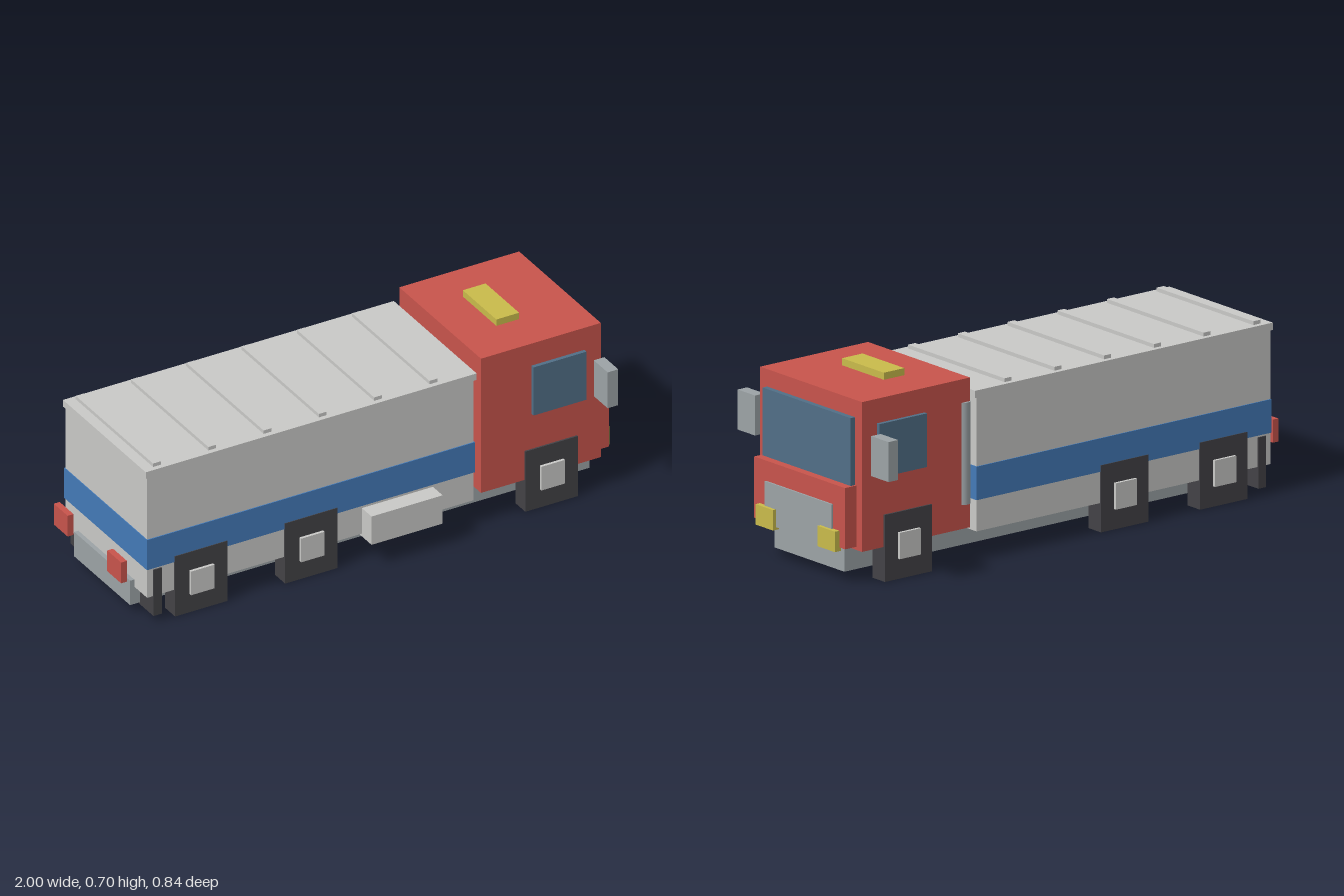
import * as THREE from 'three';

export function createModel() {
  const truck = new THREE.Group();
  truck.name = 'truck';

  const mat = (name, color) => {
    const m = new THREE.MeshStandardMaterial({ color });
    m.name = name;
    return m;
  };
  const red = mat('red paint', 0xc8544c);
  const pale = mat('pale grey', 0xc9c9c7);
  const blue = mat('blue stripe', 0x447ab8);
  const glass = mat('blue glass', 0x516f87);
  const grey = mat('metal grey', 0x9ca3a6);
  const dark = mat('dark rubber', 0x434246);
  const yellow = mat('yellow lamp', 0xc9bb4b);

  // Box given by its extents along each axis
  function box(name, material, [x0, x1], [y0, y1], [z0, z1]) {
    const mesh = new THREE.Mesh(new THREE.BoxGeometry(x1 - x0, y1 - y0, z1 - z0), material);
    mesh.position.set((x0 + x1) / 2, (y0 + y1) / 2, (z0 + z1) / 2);
    mesh.name = name;
    truck.add(mesh);
    return mesh;
  }
  // Same box on both sides of the truck
  function pair(name, material, x, y, [z0, z1]) {
    box(name + 'Right', material, x, y, [z0, z1]);
    box(name + 'Left', material, x, y, [-z1, -z0]);
  }

  // Chassis and the small plate beneath it
  box('chassis', grey, [-0.943, 0.932], [0.035, 0.135], [-0.195, 0.195]);
  box('underPlate', grey, [0.32, 0.455], [0.03, 0.04], [-0.15, 0.15]);

  // Cargo body with wrap-round stripe, lid and roof ribs
  box('cargoBody', pale, [-0.926, 0.406], [0.106, 0.6], [-0.285, 0.285]);
  box('cargoStripe', blue, [-0.929, 0.409], [0.222, 0.345], [-0.289, 0.289]);
  box('cargoLid', pale, [-0.934, 0.416], [0.598, 0.625], [-0.289, 0.289]);
  for (let i = 0; i < 6; i++) {
    const x = -0.877 + i * 0.2255;
    box('roofRib', pale, [x - 0.016, x + 0.016], [0.62, 0.639], [-0.27, 0.27]);
  }

  // Cab
  box('cab', red, [0.436, 0.925], [0.127, 0.677], [-0.285, 0.285]);
  box('cabNose', red, [0.92, 0.977], [0.139, 0.364], [-0.254, 0.254]);
  box('windshield', glass, [0.92, 0.945], [0.36, 0.613], [-0.246, 0.246]);
  pair('sideWindow', glass, [0.642, 0.858], [0.39, 0.587], [0.28, 0.3]);
  box('grille', grey, [0.97, 0.984], [0.135, 0.29], [-0.187, 0.187]);
  pair('headlight', yellow, [0.97, 0.997], [0.125, 0.2], [0.125, 0.222]);
  box('roofBeacon', yellow, [0.597, 0.69], [0.67, 0.703], [-0.117, 0.117]);
  pair('mirror', grey, [0.873, 0.916], [0.413, 0.56], [0.325, 0.422]);

  // Exhaust stack at the rear corner of the cab
  const stack = new THREE.Mesh(new THREE.CylinderGeometry(0.027, 0.027, 0.375, 16), grey);
  stack.position.set(0.454, 0.403, -0.268);
  stack.name = 'exhaustStack';
  truck.add(stack);

  // Square wheels with hubs
  for (const x of [-0.709, -0.26, 0.72]) {
    pair('wheel', dark, [x - 0.107, x + 0.107], [0, 0.246], [0.222, 0.292]);
    pair('hub', pale, [x - 0.048, x + 0.048], [0.075, 0.172], [0.285, 0.303]);
  }

  // Side tank, rear mud flap and tail lights
  box('sideTank', pale, [-0.05, 0.24], [0.095, 0.211], [0.235, 0.353]);
  box('mudFlap', dark, [-0.903, -0.868], [0.027, 0.215], [-0.29, 0.29]);
  pair('tailLight', red, [-1.003, -0.979], [0.163, 0.248], [0.138, 0.235]);

  return truck;
}
